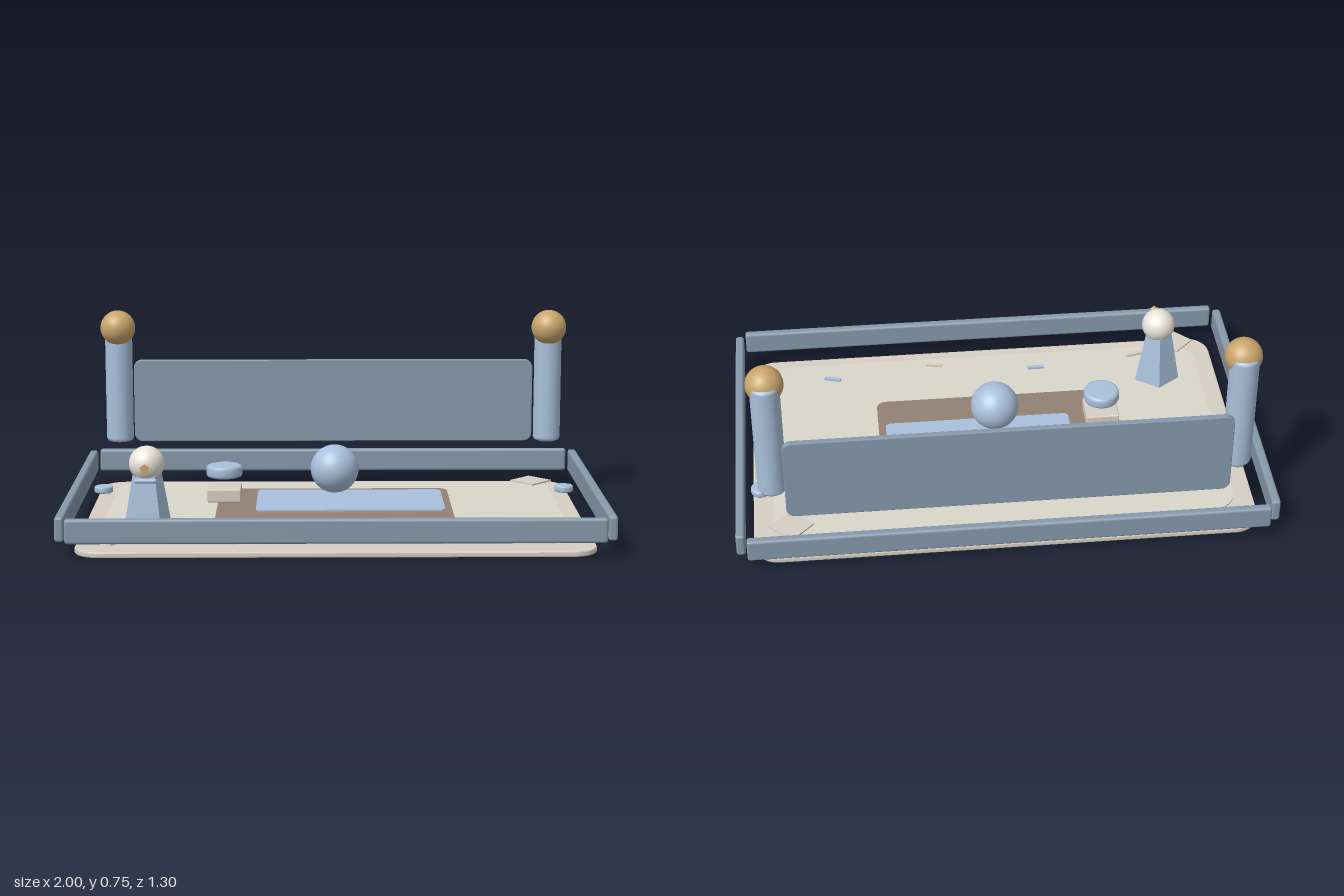
import * as THREE from 'three';
import { RoundedBoxGeometry } from 'three/addons/geometries/RoundedBoxGeometry.js';

const SLATE = 0x8799ab, BLUE = 0xa9c0db, CREAM = 0xd6cfc4, SHEET = 0xd9d7ca,
  BROWN = 0x938074, TAN = 0xc9a56b, IVORY = 0xe9e4da;

export function createModel() {
  const model = new THREE.Group();

  function add(name, geometry, color, x, y, z, parent = model, flatShading = false) {
    const mesh = new THREE.Mesh(geometry, new THREE.MeshStandardMaterial({ color, flatShading }));
    mesh.name = name;
    mesh.position.set(x, y, z);
    parent.add(mesh);
    return mesh;
  }

  // Rounded rectangle of width w and height h, extruded by d, centred on its own middle
  function plate(w, h, r, d, bevel = 0) {
    const a = w / 2 - bevel, b = h / 2 - bevel, s = new THREE.Shape();
    s.moveTo(-a + r, -b);
    s.lineTo(a - r, -b);
    s.absarc(a - r, -b + r, r, -Math.PI / 2, 0);
    s.absarc(a - r, b - r, r, 0, Math.PI / 2);
    s.absarc(-a + r, b - r, r, Math.PI / 2, Math.PI);
    s.absarc(-a + r, -b + r, r, Math.PI, Math.PI * 1.5);
    const g = new THREE.ExtrudeGeometry(s, {
      depth: d - 2 * bevel, bevelEnabled: bevel > 0, bevelThickness: bevel,
      bevelSize: bevel, bevelSegments: 2, curveSegments: 8,
    });
    return g.translate(0, 0, -d / 2 + bevel);
  }
  const slab = (...args) => plate(...args).rotateX(-Math.PI / 2);

  // Cylinder of radius r and height h with softened rims
  function softCylinder(r, h, e) {
    const pts = [[0, -h / 2], [r - e, -h / 2], [r - 0.3 * e, -h / 2 + 0.3 * e], [r, -h / 2 + e],
      [r, h / 2 - e], [r - 0.3 * e, h / 2 - 0.3 * e], [r - e, h / 2], [0, h / 2]];
    return new THREE.LatheGeometry(pts.map(p => new THREE.Vector2(...p)), 32);
  }

  // Layered floor
  add('base', slab(1.88, 1.2, 0.09, 0.022, 0.005), CREAM, 0, 0.011, 0);
  add('floorSheet', slab(1.73, 1.04, 0.1, 0.006), SHEET, 0, 0.037, 0.012);
  add('rug', slab(0.897, 0.555, 0.035, 0.01), BROWN, -0.001, 0.05, -0.03);
  add('rugInset', slab(0.72, 0.36, 0.02, 0.006), BLUE, 0.06, 0.058, -0.08);

  // Diamond corner tiles
  for (const [x, z, half] of [[-0.8, 0.54, 0.073], [0.8, -0.457, 0.083]]) {
    const side = half * Math.SQRT2;
    add('cornerTile', new THREE.BoxGeometry(side, 0.006, side), CREAM, x, 0.053, z).rotation.y = Math.PI / 4;
  }

  // Small scattered strips
  [[-0.62, 0.47, 0.25, CREAM], [-0.21, 0.42, 0, BLUE], [0.2, 0.475, -0.2, CREAM], [0.615, 0.42, -0.3, BLUE]]
    .forEach(([x, z, turn, color]) => {
      add('floorStrip', new THREE.BoxGeometry(0.065, 0.008, 0.016), color, x, 0.053, z).rotation.y = turn;
    });

  // Border rails, pillars with ball finials and side studs, mirrored
  for (const s of [-1, 1]) {
    add('longRail', new RoundedBoxGeometry(1.92, 0.09, 0.033, 3, 0.01), SLATE, 0, 0.107, s * 0.633);
    add('shortRail', new RoundedBoxGeometry(0.033, 0.09, 1.23, 3, 0.01), SLATE, s * 0.983, 0.107, 0);
    add('pillar', softCylinder(0.054, 0.48, 0.015), BLUE, s * 0.858, 0.465, -0.442);
    add('pillarBall', new THREE.SphereGeometry(0.069, 32, 20), TAN, s * 0.858, 0.686, -0.418);
    add('sideStud', softCylinder(0.037, 0.026, 0.006), BLUE, s * 0.91, 0.066, -0.255);
  }

  // Upright panel at the back
  add('backPanel', plate(1.62, 0.335, 0.03, 0.022, 0.003), SLATE, 0, 0.367, -0.565);

  // Centre ball
  add('centreBall', new THREE.SphereGeometry(0.092, 40, 24), BLUE, 0, 0.2, 0);

  // Push button above its block
  add('buttonBlock', new RoundedBoxGeometry(0.128, 0.05, 0.128, 2, 0.005), CREAM, -0.42, 0.113, 0.03);
  add('buttonCap', softCylinder(0.069, 0.046, 0.012), BLUE, -0.42, 0.199, 0.03);

  // Little bird figure
  const bird = new THREE.Group();
  bird.name = 'birdFigure';
  bird.position.set(-0.69, 0, 0.336);
  model.add(bird);
  add('body', new THREE.CylinderGeometry(0.055, 0.093, 0.21, 5).rotateY(Math.PI), BLUE, 0, 0.15, 0, bird, true);
  add('head', new THREE.SphereGeometry(0.065, 32, 20), IVORY, 0, 0.291, 0.003, bird);
  add('beak', new THREE.ConeGeometry(0.019, 0.035, 5).rotateX(-Math.PI / 2), TAN, 0, 0.29, 0.09, bird, true);
  add('collarBar', new THREE.CapsuleGeometry(0.009, 0.066, 6, 12).rotateZ(Math.PI / 2), BLUE, 0, 0.238, 0.066, bird);

  return model;
}
